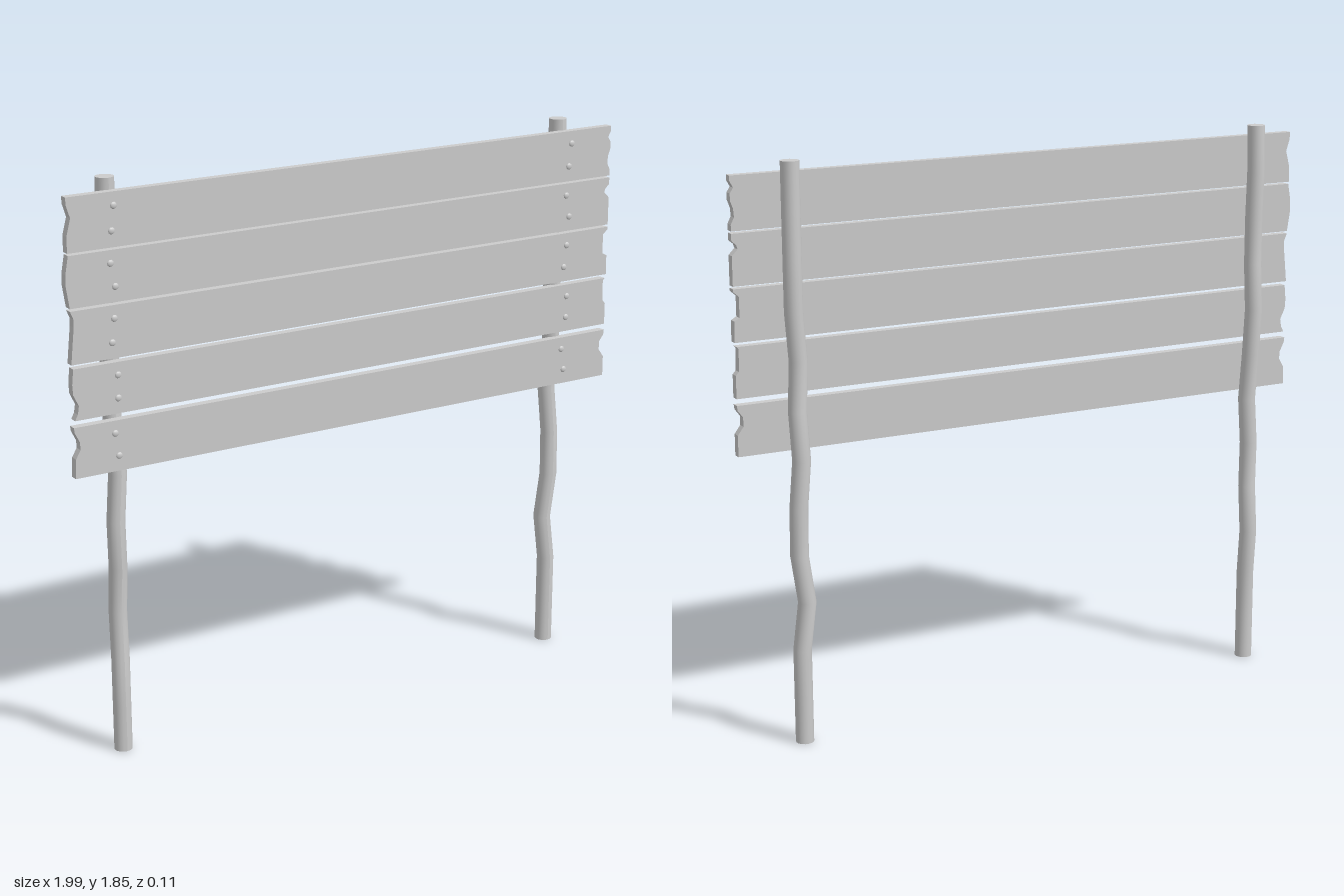
import * as THREE from 'three';

const material = new THREE.MeshStandardMaterial({ color: 0xcccccc });
const HEIGHT = 1.85, RINGS = 12;

// Round post whose rings are pushed sideways: bends = { ring: [dx, dz] }
function makePost(name, x, bends) {
  const geo = new THREE.CylinderGeometry(0.029, 0.029, HEIGHT, 16, RINGS);
  geo.translate(0, HEIGHT / 2, 0);
  const pos = geo.attributes.position;
  for (let i = 0; i < pos.count; i++) {
    const [dx, dz] = bends[Math.round(pos.getY(i) / HEIGHT * RINGS)] ?? [0, 0];
    pos.setX(i, pos.getX(i) + dx);
    pos.setZ(i, pos.getZ(i) + dz);
  }
  geo.computeVertexNormals();
  const post = new THREE.Mesh(geo, material);
  post.name = name;
  post.position.x = x;
  return post;
}

// Plank with worn ends; each end lists [x, fraction of height] from bottom to top
function makePlank({ y0, y1, left, right }) {
  const at = ([x, t]) => new THREE.Vector2(x, y0 + (y1 - y0) * t);
  const outline = [...right.map(at), ...left.map(at).reverse()];
  const geo = new THREE.ExtrudeGeometry(new THREE.Shape(outline), { depth: 0.027, bevelEnabled: false });
  const plank = new THREE.Mesh(geo, material);
  plank.name = 'plank';
  plank.position.z = 0.025;
  return plank;
}

// Planks from top to bottom
const planks = [
  { y0: 1.647, y1: 1.814,
    left: [[-0.99, 0], [-0.99, 0.3], [-0.976, 0.62], [-0.988, 0.85], [-0.99, 1]],
    right: [[0.995, 0], [0.995, 0.12], [0.984, 0.25], [0.986, 0.4], [0.995, 0.55], [0.995, 0.68], [0.984, 0.78], [0.995, 0.9], [0.995, 1]] },
  { y0: 1.48, y1: 1.64,
    left: [[-0.988, 0], [-0.999, 0.45], [-0.998, 0.65], [-0.988, 1]],
    right: [[0.995, 0], [0.995, 0.58], [0.976, 0.7], [0.98, 0.78], [0.995, 0.86], [0.995, 1]] },
  { y0: 1.308, y1: 1.472,
    left: [[-0.99, 0], [-0.985, 0.3], [-0.978, 0.7], [-0.978, 0.85], [-0.988, 1]],
    right: [[0.995, 0], [0.995, 0.2], [0.994, 0.4], [0.977, 0.46], [0.977, 0.85], [0.995, 0.95], [0.995, 1]] },
  { y0: 1.134, y1: 1.295,
    left: [[-0.985, 0], [-0.975, 0.12], [-0.971, 0.28], [-0.988, 0.5], [-0.99, 0.7], [-0.985, 1]],
    right: [[0.995, 0], [0.995, 0.45], [0.985, 0.52], [0.983, 0.95], [0.99, 1]] },
  { y0: 0.952, y1: 1.113,
    left: [[-0.99, 0], [-0.987, 0.38], [-0.971, 0.55], [-0.972, 0.7], [-0.988, 0.9], [-0.99, 1]],
    right: [[0.995, 0], [0.995, 0.42], [0.976, 0.58], [0.976, 0.76], [0.993, 0.9], [0.995, 1]] },
];

export function createModel() {
  const sign = new THREE.Group();
  sign.name = 'plankSign';

  // Crooked posts
  sign.add(makePost('rightPost', -0.837, {
    3: [0.007, -0.022], 4: [0.002, 0], 6: [0.011, 0], 8: [0.002, -0.015], 11: [0, -0.006],
  }));
  sign.add(makePost('leftPost', 0.813, {
    3: [-0.02, 0], 4: [0.002, 0], 6: [-0.009, -0.011], 7: [-0.004, 0], 8: [-0.015, 0.01],
  }));

  // Planks with two domed nails over each post
  const nailGeo = new THREE.SphereGeometry(0.011, 10, 6, 0, Math.PI * 2, 0, Math.PI / 2);
  nailGeo.rotateX(Math.PI / 2);
  planks.forEach((plank, row) => {
    sign.add(makePlank(plank));
    for (const x of [-0.845, 0.825]) {
      [0.3, 0.75].forEach((t, k) => {
        const nail = new THREE.Mesh(nailGeo, material);
        nail.name = 'nail';
        nail.scale.z = 0.5;
        nail.position.set(x + 0.009 * Math.sin(row * 2.3 + k * 1.7), plank.y0 + (plank.y1 - plank.y0) * t, 0.052);
        sign.add(nail);
      });
    }
  });
  return sign;
}
